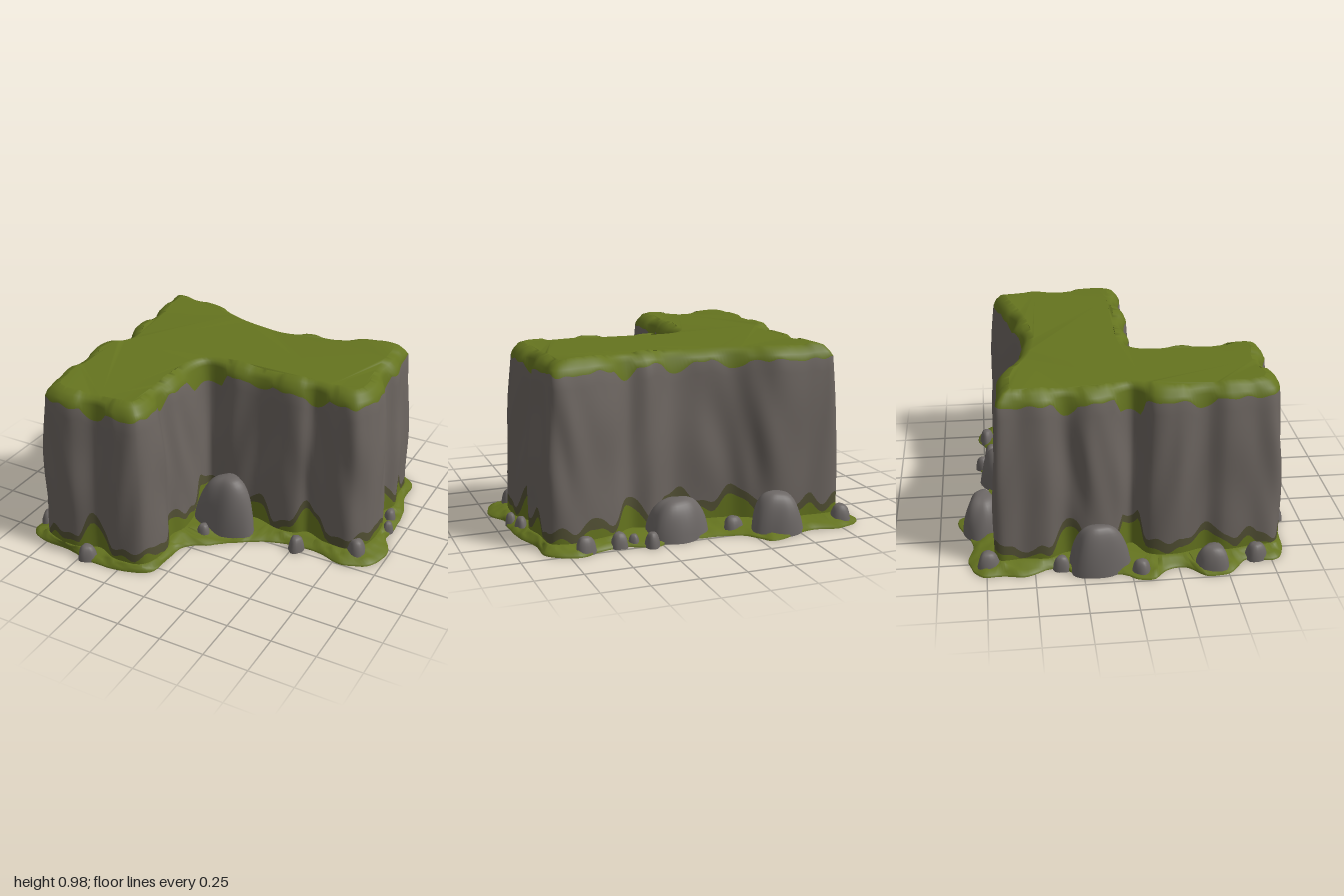
import * as THREE from 'three';

const mat = (name, color, extra = {}) => Object.assign(new THREE.MeshStandardMaterial({ color, ...extra }), { name });
const TAU = Math.PI * 2;

// Closed smooth outline in the ground plane, sampled evenly
function outline(flat, count) {
  const pts = [];
  for (let i = 0; i < flat.length; i += 2) pts.push(new THREE.Vector3(flat[i], 0, flat[i + 1]));
  return new THREE.CatmullRomCurve3(pts, true, 'centripetal').getSpacedPoints(count).slice(0, count);
}

// Outward directions along an outline, averaged over a window of samples
function outward(pts, w) {
  const n = pts.length;
  return pts.map((p, i) => {
    const t = pts[(i + w) % n].clone().sub(pts[(i - w + n) % n]).normalize();
    return new THREE.Vector3(t.z, 0, -t.x);
  });
}

// Smooth periodic noise around an outline, about -1..1
const wave = (t, a, b, c) => (Math.sin(TAU * a * t + 1) + Math.sin(TAU * b * t + 2.3) + 0.7 * Math.sin(TAU * c * t)) / 2.7;

// Joins equal rings of points from bottom to top; matOf(row) picks the material; the last ring can be capped
function loft(rings, matOf, cap) {
  const n = rings[0].length, pos = [], idx = [];
  const geo = new THREE.BufferGeometry();
  rings.forEach(r => r.forEach(p => pos.push(p.x, p.y, p.z)));
  for (let j = 0; j < rings.length - 1; j++) {
    geo.addGroup(idx.length, n * 6, matOf(j));
    for (let i = 0; i < n; i++) {
      const k = (i + 1) % n, a = j * n + i, b = j * n + k, c = b + n, d = a + n;
      idx.push(a, d, c, a, c, b);
    }
  }
  if (cap) {
    const top = rings[rings.length - 1], base = (rings.length - 1) * n, start = idx.length;
    for (const [a, b, c] of THREE.ShapeUtils.triangulateShape(top.map(p => new THREE.Vector2(p.x, p.z)), [])) {
      const A = top[a], B = top[b], C = top[c];
      const up = (B.z - A.z) * (C.x - A.x) - (B.x - A.x) * (C.z - A.z) > 0;
      idx.push(base + a, base + (up ? b : c), base + (up ? c : b));
    }
    geo.addGroup(start, idx.length - start, matOf(rings.length - 1));
  }
  geo.setAttribute('position', new THREE.Float32BufferAttribute(pos, 3));
  geo.setIndex(idx);
  geo.computeVertexNormals();
  return geo;
}

// Blocky stone: a squared dome standing on the ground, turned by a random-looking angle
function stone([x, z, rx, rz, h], seed, material) {
  const big = h > 0.15, rows = [], cols = big ? 32 : 18, steps = big ? 12 : 7;
  for (let j = 0; j <= steps; j++) {
    const q = (j / steps) * Math.PI / 2, ring = [];
    const rad = Math.max(0.02, Math.cos(q)) ** 0.6, up = Math.sin(q) ** 0.8;
    for (let i = 0; i < cols; i++) {
      const a = (i / cols) * TAU;
      const s = 1 + 0.07 * Math.sin(3 * a + seed) + 0.04 * Math.sin(5 * a + seed * 2 + 3 * up);
      const r = rad * s * (1 - 0.16 * up);
      const u = r * Math.cos(a), w = r * Math.sin(a);
      const slant = big ? 0.14 * up * Math.sin(seed + 4) * u : 0;
      ring.push(new THREE.Vector3(u * rx, h * (up - slant), w * rz));
    }
    rows.push(ring);
  }
  const m = new THREE.Mesh(loft(rows, () => 0, true), [material]);
  m.position.set(x, 0, z);
  m.name = big ? 'boulder' : 'smallStone';
  return m;
}

export function createModel() {
  const group = new THREE.Group();
  group.name = 'cornerCliff';
  const moss = mat('moss', 0x65741f, { side: THREE.DoubleSide });
  const fringe = mat('darkMossFringe', 0x525034);
  const rock = mat('cliffRock', 0x6c6560);
  const boulderRock = mat('boulderRock', 0x6c6765);

  // L-shaped cliff footprint with grooves between the rock columns
  const foot = outline([
    -0.79, -0.69, -0.6, -0.7, -0.42, -0.69, -0.3, -0.63, -0.2, -0.58, -0.05, -0.56, 0.1, -0.54, 0.25, -0.59,
    0.36, -0.57, 0.46, -0.63, 0.6, -0.67, 0.72, -0.69, 0.82, -0.66, 0.84, -0.5, 0.865, -0.38, 0.83, -0.28,
    0.88, -0.15, 0.885, 0, 0.86, 0.08, 0.8, 0.15, 0.65, 0.15, 0.53, 0.11, 0.47, 0.15, 0.36, 0.16, 0.22, 0.12,
    0.05, 0.14, -0.1, 0.1, -0.11, 0.25, -0.1, 0.4, -0.13, 0.5, -0.09, 0.6, -0.09, 0.74, -0.13, 0.81,
    -0.28, 0.84, -0.42, 0.79, -0.55, 0.84, -0.76, 0.79, -0.79, 0.65, -0.815, 0.5, -0.79, 0.4, -0.83, 0.25,
    -0.81, 0.1, -0.7, 0.02, -0.76, -0.06, -0.8, -0.2, -0.75, -0.32, -0.8, -0.42, -0.79, -0.55,
  ], 360);
  const N = foot.length, at = i => foot[(i + N) % N];
  const normals = outward(foot, 7);
  // Groove depth: positive in hollows, negative on corners
  const hollow = foot.map((p, i) => {
    const mid = at(i + 9).clone().add(at(i - 9)).multiplyScalar(0.5).sub(p);
    return THREE.MathUtils.clamp(mid.dot(normals[i]), -0.02, 0.05);
  });
  // Softer outline and directions for the worn rim
  const soft = foot.map((p, i) => {
    const sum = new THREE.Vector3();
    for (let k = -6; k <= 6; k++) sum.add(at(i + k));
    return sum.divideScalar(13);
  });
  const softNormals = outward(soft, 9);

  // Cliff wall: mossy foot, dark fringe, rock face, mossy lip and top
  const ROCK = 12;
  const rings = Array.from({ length: ROCK + 6 }, () => []);
  foot.forEach((p, i) => {
    const t = i / N, n = normals[i], c = hollow[i];
    const low = 0.105 + 0.045 * wave(t, 14, 31, 53) + c * 1.9;
    const mid = low + 0.048 + 0.022 * wave(t, 13, 27, 46);
    const lip = 0.9 - Math.max(0, c - 0.008) * 1.9 + 0.014 * wave(t, 19, 37, 58);
    const rim = 0.008 * wave(t, 5, 9, 14) + Math.max(0, -c) * 0.5;
    const put = (row, y, inset) => rings[row].push(p.clone().addScaledVector(n, -inset).setY(y));
    const putSoft = (row, y, inset, blend) => rings[row].push(p.clone().addScaledVector(n, -inset)
      .lerp(soft[i].clone().addScaledVector(softNormals[i], -inset), blend).setY(y));
    const face = y => 0.042 * (y / 0.9) ** 2.2
      + 0.009 * Math.sin(Math.PI * y) * Math.sin(9 * y + 5 * Math.sin(TAU * 6 * t)) * Math.sin(TAU * 11 * t);
    put(0, 0.005, 0);
    put(1, low, face(low));
    for (let k = 0; k <= ROCK; k++) {
      const y = mid + (lip - mid) * k / ROCK;
      put(2 + k, y, face(y));
    }
    putSoft(ROCK + 3, 0.924 + rim * 0.6, 0.052, 0.3);
    putSoft(ROCK + 4, 0.95 + rim, 0.075, 0.7);
    putSoft(ROCK + 5, 0.962 + rim, 0.11, 1);
  });
  const cliff = new THREE.Mesh(
    loft(rings, r => (r === 1 ? 1 : r >= 2 && r < ROCK + 2 ? 2 : 0), true), [moss, fringe, rock]);
  cliff.name = 'cliff';
  group.add(cliff);

  // Ragged mossy ground skirt running in under the cliff foot
  const edge = outline([
    -0.88, -0.78, -0.72, -0.85, -0.58, -0.82, -0.45, -0.87, -0.3, -0.91, -0.24, -0.82, -0.15, -0.76, 0, -0.74,
    0.2, -0.74, 0.3, -0.78, 0.45, -0.72, 0.6, -0.75, 0.7, -0.79, 0.86, -0.7, 0.87, -0.55, 0.92, -0.4,
    0.94, -0.2, 0.93, -0.1, 0.99, 0.02, 0.95, 0.18, 0.8, 0.25, 0.65, 0.21, 0.5, 0.21, 0.35, 0.25, 0.2, 0.34,
    0.1, 0.42, -0.04, 0.52, -0.06, 0.65, -0.08, 0.8, -0.2, 0.86, -0.4, 0.88, -0.6, 0.84, -0.78, 0.83,
    -0.88, 0.77, -0.86, 0.62, -0.97, 0.52, -1, 0.4, -0.9, 0.28, -0.92, 0.18, -1, 0.1, -0.97, 0,
    -0.93, -0.06, -0.93, -0.25, -0.85, -0.35, -0.84, -0.42, -0.9, -0.55, -0.88, -0.68,
  ], 360);
  const skirt = Array.from({ length: 6 }, () => []);
  edge.forEach((p, i) => {
    const t = i / edge.length;
    const j = foot.reduce((a, q, k) => (q.distanceToSquared(p) < foot[a].distanceToSquared(p) ? k : a), 0);
    const bump = wave(t, 27, 43, 68), rag = 0.03 + 0.03 * wave(t, 35, 51, 73);
    [[rag, 0], [rag + 0.02, 0.012], [0.35, 0.022 + 0.012 * bump], [0.7, 0.034 - 0.014 * bump], [1, 0.045]]
      .forEach(([f, y], r) => skirt[r].push(p.clone().lerp(foot[j], f).setY(y)));
    skirt[5].push(foot[j].clone().addScaledVector(normals[j], -0.13).setY(0.05));
  });
  const ground = new THREE.Mesh(loft(skirt, () => 0, false), [moss]);
  ground.name = 'mossSkirt';
  group.add(ground);

  // Flat underside
  const under = new THREE.ShapeGeometry(new THREE.Shape(skirt[0].map(p => new THREE.Vector2(p.x, p.z))));
  under.rotateX(Math.PI / 2);
  const base = new THREE.Mesh(under, fringe);
  base.name = 'underside';
  group.add(base);

  // Boulders and small stones: x, z, radius x, radius z, height
  [
    [0.07, 0.22, 0.18, 0.13, 0.34], [-0.4, -0.76, 0.145, 0.11, 0.22], [-0.85, -0.17, 0.1, 0.16, 0.26],
    [0.14, -0.65, 0.17, 0.12, 0.21], [-0.9, 0.43, 0.08, 0.09, 0.13], [-0.79, -0.74, 0.055, 0.06, 0.1],
    [-0.18, -0.67, 0.055, 0.05, 0.08], [0.31, -0.76, 0.04, 0.04, 0.08], [0.39, -0.7, 0.03, 0.03, 0.06],
    [0.47, -0.7, 0.045, 0.05, 0.08], [0.66, -0.73, 0.055, 0.045, 0.09], [0.88, -0.28, 0.035, 0.045, 0.08],
    [0.91, -0.17, 0.03, 0.035, 0.07], [0.52, 0.23, 0.045, 0.05, 0.085], [0.84, 0.13, 0.055, 0.055, 0.11],
    [0, 0.36, 0.04, 0.04, 0.08], [-0.46, 0.85, 0.055, 0.05, 0.085], [-0.84, 0.67, 0.05, 0.06, 0.09],
    [-0.92, 0.05, 0.045, 0.05, 0.08], [-0.84, -0.36, 0.04, 0.045, 0.08],
  ].forEach((s, i) => group.add(stone(s, i * 1.7, boulderRock)));

  return group;
}
